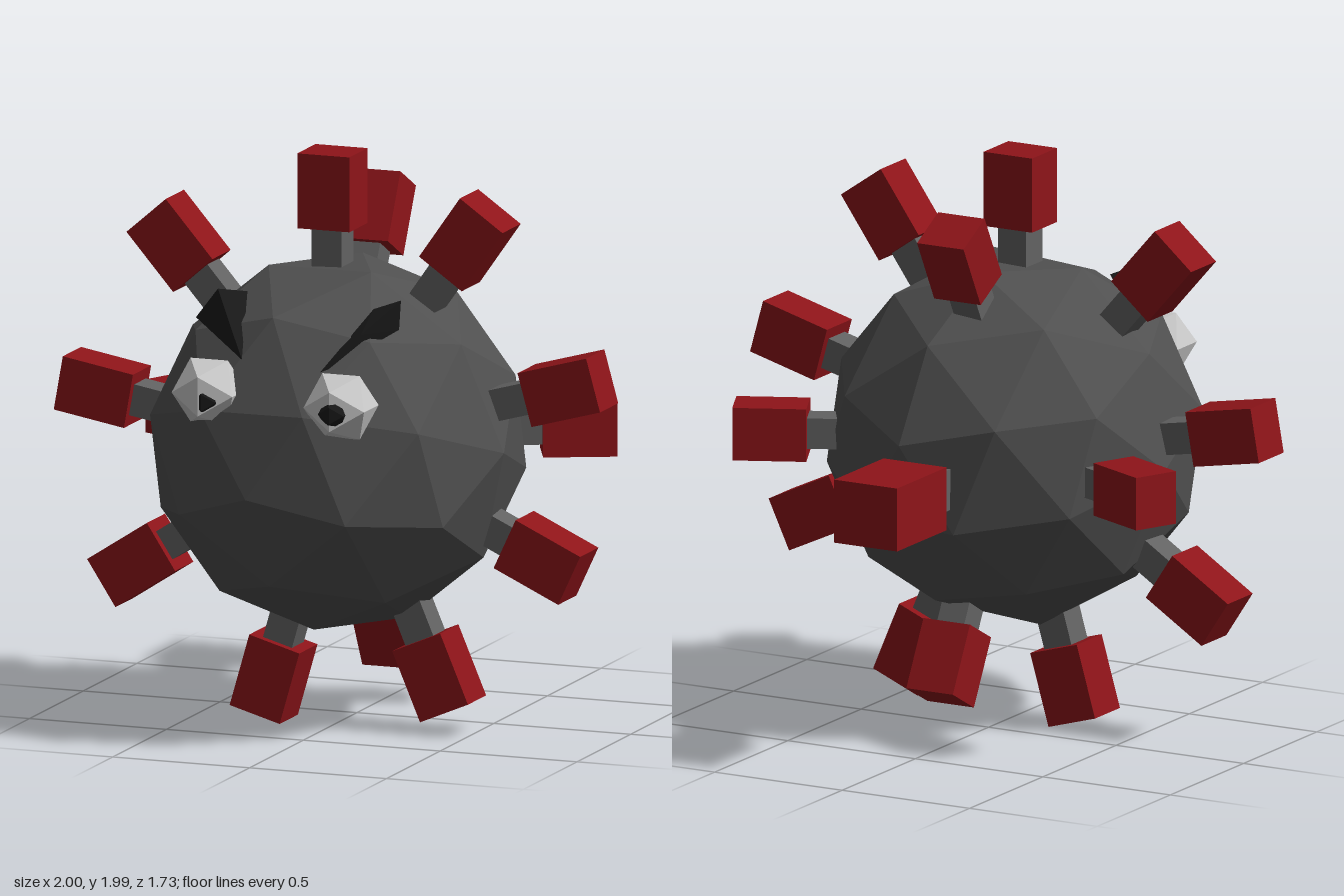
import * as THREE from 'three';
import { ConvexGeometry } from 'three/addons/geometries/ConvexGeometry.js';

const mat = (color) => new THREE.MeshStandardMaterial({ color, flatShading: true });
const V = (x, y, z) => new THREE.Vector3(x, y, z);
const rad = THREE.MathUtils.degToRad;

export function createModel() {
  const model = new THREE.Group();
  const stone = mat(0x505050), steel = mat(0x626262), red = mat(0x8e1419);
  const white = mat(0xcccccc), black = mat(0x181818);

  const add = (parent, name, geometry, material, x = 0, y = 0, z = 0) => {
    const mesh = new THREE.Mesh(geometry, material);
    mesh.name = name;
    mesh.position.set(x, y, z);
    parent.add(mesh);
    return mesh;
  };

  // Faceted ball: one five-sided corner turned forwards, then tilted slightly
  const front = V(-0.09, -0.09, 0.635).normalize();
  const up = front.clone().cross(V(0.645, 0.025, 0.085)).normalize();
  const side = up.clone().cross(front);
  const ball = new THREE.IcosahedronGeometry(0.65, 1);
  ball.rotateX(Math.atan(2 / (1 + Math.sqrt(5))));
  ball.applyMatrix4(new THREE.Matrix4().makeBasis(side, up, front));
  add(model, 'body', ball, stone, 0.008, 0.995, 0.195);

  // Peg with a block head; the group origin is the middle of the head
  const headGeometry = new THREE.BoxGeometry(0.19, 0.26, 0.17);
  const stemGeometry = new THREE.BoxGeometry(0.11, 0.2, 0.11);
  const addPeg = (name, [x, y, z], [rx, ry, rz], scale = 1) => {
    const peg = new THREE.Group();
    peg.name = name;
    add(peg, 'pegHead', headGeometry, red);
    add(peg, 'pegStem', stemGeometry, steel, 0, -0.21, 0);
    peg.position.set(x, y, z);
    peg.rotation.set(rad(rx), rad(ry), rad(rz), 'YZX');
    peg.scale.setScalar(scale);
    model.add(peg);
  };

  // Ring of pegs around the middle: head centre and outward angle
  const ring = [
    [-0.015, 1.87, 90], [0.487, 1.727, 55], [0.845, 1.24, 15.5],
    [0.765, 0.645, -25], [0.375, 0.215, -67], [-0.23, 0.165, -106],
    [-0.717, 0.525, 213], [-0.855, 1.115, 170], [-0.577, 1.645, 131],
  ];
  for (const [x, y, angle] of ring) addPeg('ringPeg', [x, y, 0.19], [0, 0, angle - 90]);

  // Pegs on the back half
  addPeg('upperBackPeg', [-0.015, 1.71, -0.225], [-28, 0, 0], 0.96);
  addPeg('lowerBackPeg', [0.03, 0.285, -0.22], [-152, 0, 0], 0.96);
  addPeg('leftBackPeg', [0.72, 1.02, -0.23], [0, 25, -90], 0.97);
  addPeg('rightBackPeg', [-0.705, 0.975, -0.23], [0, -25, 90], 0.97);
  addPeg('rearPeg', [-0.015, 0.95, -0.697], [-90, 0, 0], 1.3);

  // Eyes and pupils
  const eyeGeometry = new THREE.IcosahedronGeometry(0.13, 0);
  const pupilGeometry = new THREE.IcosahedronGeometry(0.055, 0);
  add(model, 'leftEye', eyeGeometry, white, 0.23, 1.235, 0.735);
  add(model, 'rightEye', eyeGeometry, white, -0.265, 1.245, 0.7);
  add(model, 'leftPupil', pupilGeometry, black, 0.235, 1.225, 0.815);
  add(model, 'rightPupil', pupilGeometry, black, -0.252, 1.225, 0.765);

  // Slanted brows: a four-cornered outer end tapering to an inner tip
  add(model, 'leftBrow', new ConvexGeometry([
    V(0.35, 1.465, 0.5), V(0.353, 1.565, 0.49), V(0.257, 1.53, 0.5), V(0.25, 1.46, 0.6),
    V(0.14, 1.34, 0.7), V(0.17, 1.35, 0.67),
  ]), black);
  add(model, 'rightBrow', new ConvexGeometry([
    V(-0.38, 1.46, 0.53), V(-0.3, 1.565, 0.53), V(-0.235, 1.54, 0.42), V(-0.29, 1.46, 0.43),
    V(-0.15, 1.36, 0.69), V(-0.18, 1.37, 0.66),
  ]), black);

  return model;
}
